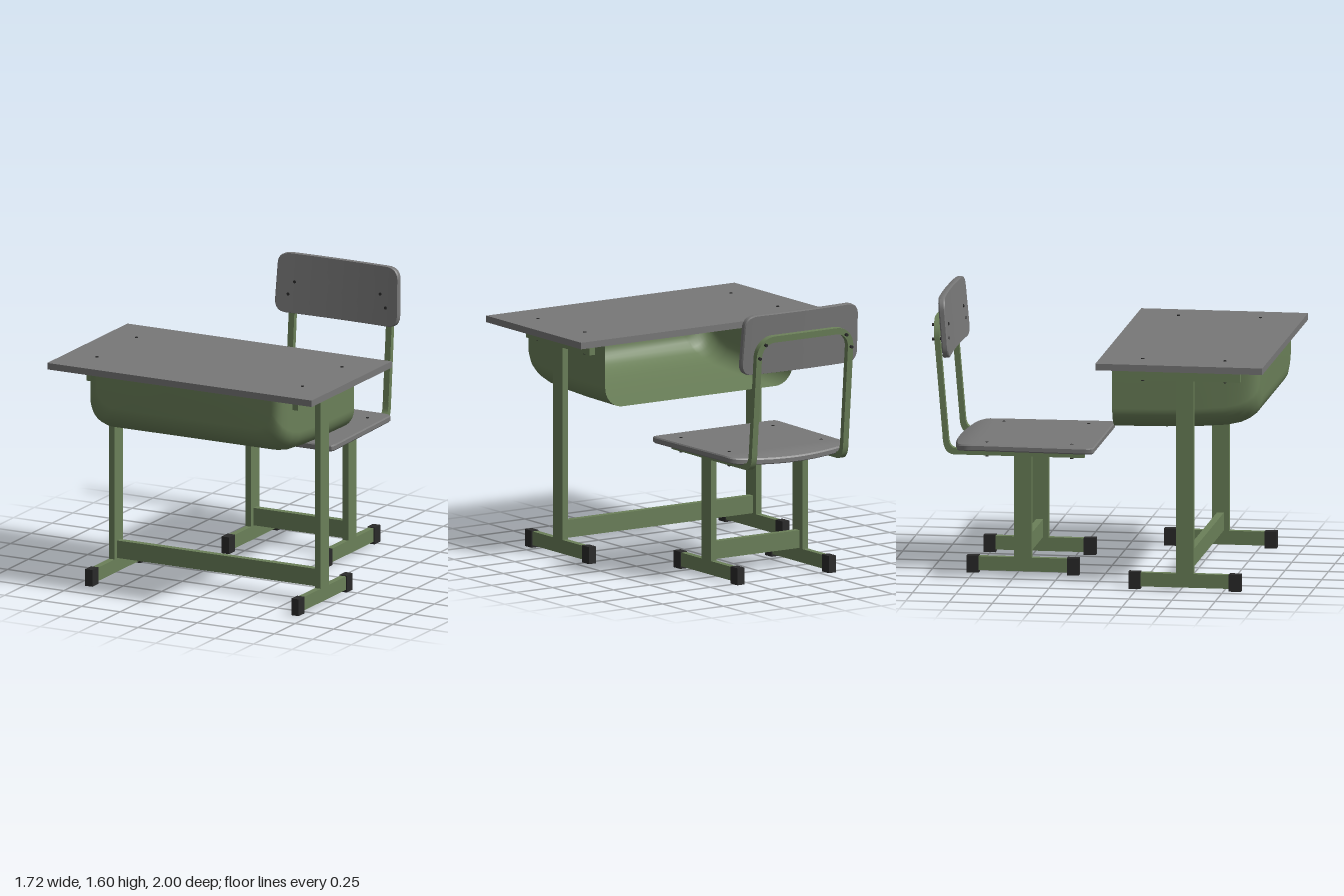
import * as THREE from 'three';
import { toCreasedNormals } from 'three/addons/utils/BufferGeometryUtils.js';

const green = new THREE.MeshStandardMaterial({ color: 0x6b8059 });
const greenSheet = new THREE.MeshStandardMaterial({ color: 0x6b8059, side: THREE.DoubleSide });
const grey = new THREE.MeshStandardMaterial({ color: 0x787878 });
const black = new THREE.MeshStandardMaterial({ color: 0x2a2a2a });

function add(parent, name, geometry, material) {
  const mesh = new THREE.Mesh(geometry, material);
  mesh.name = name;
  parent.add(mesh);
  return mesh;
}

// Box given by its limits on each axis
function box(parent, name, [x0, x1], [y0, y1], [z0, z1], material = green) {
  const mesh = add(parent, name, new THREE.BoxGeometry(x1 - x0, y1 - y0, z1 - z0), material);
  mesh.position.set((x0 + x1) / 2, (y0 + y1) / 2, (z0 + z1) / 2);
  return mesh;
}

// Upright bolt passing through a panel and the frame below it
function bolt(parent, x, y0, y1, z) {
  const mesh = add(parent, 'bolt', new THREE.CylinderGeometry(0.009, 0.009, y1 - y0, 12), black);
  mesh.position.set(x, (y0 + y1) / 2, z);
  return mesh;
}

// Indexed surface from rows of points; rows may close on themselves
function loft(rows, closed) {
  const n = rows[0].length, index = [];
  for (let i = 0; i < rows.length - 1; i++) {
    for (let j = 0; j < (closed ? n : n - 1); j++) {
      const k = (j + 1) % n;
      const a = i * n + j, b = i * n + k, c = a + n, d = b + n;
      index.push(a, c, b, c, d, b);
    }
  }
  const g = new THREE.BufferGeometry();
  g.setAttribute('position', new THREE.Float32BufferAttribute(rows.flat(2), 3));
  g.setIndex(index);
  g.computeVertexNormals();
  return g;
}

// Plywood panel: concentric rings of an outline, bevelled at the rim, bent by a rule
function panel(shape, thickness, bend) {
  const t = thickness / 2;
  const outline = shape.getSpacedPoints(128).slice(0, 128);
  const face = [0, 0.2, 0.4, 0.6, 0.7, 0.8, 0.9, 0.985].map(s => [s, t]);
  const front = [...face, [1, t - 0.007]];
  const profile = [...front, ...front.map(([s, h]) => [s, -h]).reverse()];
  const rows = profile.map(([s, h]) =>
    outline.map(p => [p.x * s, p.y * s, h + bend(p.x * s, p.y * s)]));
  return toCreasedNormals(loft(rows, true), 0.5);
}

// Pair of T-shaped legs on capped feet, joined by a crossbar
function legs(parent, xIn, xOut, legTop, legZ, footZ) {
  for (const side of [1, -1]) {
    const span = (a, b) => side > 0 ? [a, b] : [-b, -a];
    box(parent, 'leg', span(xIn, xOut), [0.09, legTop], [legZ - 0.05, legZ + 0.05]);
    box(parent, 'foot', span(xIn, xOut), [0.015, 0.095], [footZ[0] + 0.01, footZ[1] - 0.01]);
    for (const z of [footZ[0], footZ[1] - 0.07]) {
      box(parent, 'footCap', span(xIn - 0.005, xOut + 0.006), [0, 0.099], [z, z + 0.07], black);
    }
  }
  box(parent, 'crossbar', [-xIn, xIn], [0.097, 0.2], [legZ - 0.02, legZ + 0.02]);
}

function createDesk() {
  const desk = new THREE.Group();
  desk.name = 'desk';
  legs(desk, 0.65, 0.687, 1.297, 0.525, [0.2, 0.85]);
  box(desk, 'tabletop', [-0.858, 0.858], [1.297, 1.335], [0.035, 1], grey);
  for (const side of [1, -1]) {
    const bracket = box(desk, 'topBracket', [-0.0185, 0.0185], [1.215, 1.297], [0.2, 0.845]);
    bracket.position.x = side * 0.6685;
    for (const z of [0.28, 0.755]) bolt(desk, side * 0.667, 1.208, 1.339, z);
  }

  // Storage tray, open towards the chair: [z, half width, bottom height]
  const sections = [
    [0.1, 0.648, 0.918], [0.4, 0.648, 0.922], [0.6, 0.648, 0.93], [0.75, 0.647, 0.942],
    [0.83, 0.644, 0.96], [0.88, 0.637, 0.983], [0.915, 0.623, 1.01], [0.935, 0.605, 1.04],
    [0.943, 0.585, 1.07], [0.945, 0.565, 1.1], [0.945, 0, 1.296],
  ];
  const top = 1.297;
  const rows = sections.map(([z, w, b]) => {
    const r = Math.min(0.12, w, top - b), half = [];
    for (let i = 0; i <= 10; i++) {
      const a = i / 10 * Math.PI / 2;
      half.push([w - r + r * Math.sin(a), b + r - r * Math.cos(a), z]);
    }
    half.push([w, top, z]);
    return [...half.map(([x, y, zz]) => [-x, y, zz]).reverse(), ...half];
  });
  add(desk, 'storageTray', loft(rows, false), greenSheet);
  return desk;
}

function createChair() {
  const chair = new THREE.Group();
  chair.name = 'chair';
  legs(chair, 0.297, 0.334, 0.69, -0.465, [-0.79, -0.14]);

  // Seat rails, bending up at the rear
  const rail = new THREE.Shape();
  rail.moveTo(0.11, 0.683);
  rail.lineTo(0.86, 0.683);
  rail.quadraticCurveTo(0.921, 0.683, 0.928, 0.77);
  rail.lineTo(0.93, 0.801);
  rail.lineTo(0.898, 0.801);
  rail.lineTo(0.895, 0.77);
  rail.quadraticCurveTo(0.889, 0.719, 0.85, 0.719);
  rail.lineTo(0.11, 0.719);
  const railGeometry = new THREE.ExtrudeGeometry(rail, { depth: 0.037, bevelEnabled: false, curveSegments: 10 });
  railGeometry.translate(0, 0, -0.0185).rotateY(Math.PI / 2);
  for (const side of [1, -1]) {
    add(chair, 'seatRail', toCreasedNormals(railGeometry, 0.6), green).position.x = side * 0.3155;
    for (const z of [-0.185, -0.675]) bolt(chair, side * 0.318, 0.674, 0.76, z);
  }

  // Seat, rounded behind and rolled down at the rear edge
  const seat = new THREE.Shape();
  seat.moveTo(-0.4, -0.415);
  seat.lineTo(0.4, -0.415);
  seat.quadraticCurveTo(0.43, -0.415, 0.429, -0.385);
  seat.lineTo(0.41, 0.31);
  seat.quadraticCurveTo(0.405, 0.365, 0.34, 0.385);
  seat.quadraticCurveTo(0, 0.465, -0.34, 0.385);
  seat.quadraticCurveTo(-0.405, 0.365, -0.41, 0.31);
  seat.lineTo(-0.429, -0.385);
  seat.quadraticCurveTo(-0.43, -0.415, -0.4, -0.415);
  const seatGeometry = panel(seat, 0.037, (x, v) => -1.4 * Math.max(0, v - 0.29) ** 2);
  seatGeometry.rotateX(-Math.PI / 2);
  add(chair, 'seat', seatGeometry, grey).position.set(0, 0.739, -0.46);

  // Leaning back: arched tube, backrest panel and bolts
  const back = new THREE.Group();
  back.name = 'chairBack';
  back.position.set(0, 0.8, -0.914);
  back.rotation.x = -0.085;
  chair.add(back);

  const arch = new THREE.Shape();
  arch.moveTo(0.334, 0);
  arch.lineTo(0.334, 0.552);
  arch.absarc(0.214, 0.552, 0.12, 0, Math.PI / 2);
  arch.absarc(-0.214, 0.552, 0.12, Math.PI / 2, Math.PI);
  arch.lineTo(-0.334, 0);
  arch.lineTo(-0.297, 0);
  arch.absarc(-0.214, 0.552, 0.083, Math.PI, Math.PI / 2, true);
  arch.absarc(0.214, 0.552, 0.083, Math.PI / 2, 0, true);
  arch.lineTo(0.297, 0);
  const archGeometry = new THREE.ExtrudeGeometry(arch, { depth: 0.032, bevelEnabled: false, curveSegments: 10 });
  add(back, 'backFrame', toCreasedNormals(archGeometry.translate(0, 0, -0.016), 0.6), green);

  const rest = new THREE.Shape();
  rest.moveTo(-0.33, -0.175);
  rest.lineTo(0.33, -0.175);
  rest.quadraticCurveTo(0.4, -0.175, 0.4, -0.105);
  rest.lineTo(0.393, 0.105);
  rest.quadraticCurveTo(0.39, 0.175, 0.31, 0.175);
  rest.lineTo(-0.31, 0.175);
  rest.quadraticCurveTo(-0.39, 0.175, -0.393, 0.105);
  rest.lineTo(-0.4, -0.105);
  rest.quadraticCurveTo(-0.4, -0.175, -0.33, -0.175);
  const restGeometry = panel(rest, 0.038, x => 0.015 * (x / 0.4) ** 2);
  add(back, 'backrest', restGeometry, grey).position.set(0, 0.618, 0.037);

  for (const side of [1, -1]) {
    for (const [x, h] of [[0.278, 0.628], [0.316, 0.552]]) {
      const pin = bolt(back, side * x, -0.031, 0.068, 0);
      pin.rotation.x = Math.PI / 2;
      pin.position.set(side * x, h, 0.0185);
    }
  }
  return chair;
}

export function createModel() {
  const model = new THREE.Group();
  model.name = 'schoolDeskAndChair';
  model.add(createDesk(), createChair());
  return model;
}
